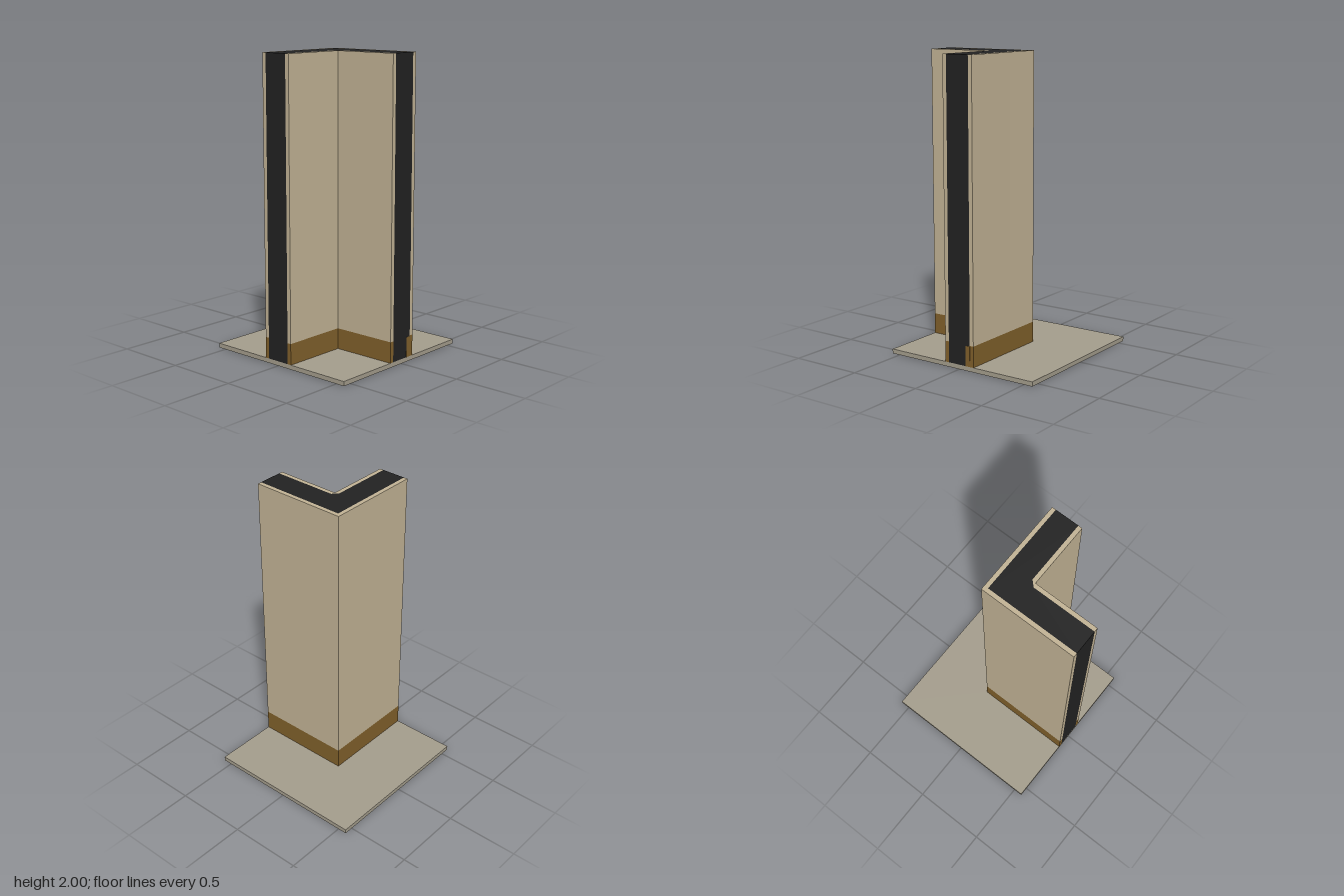
import * as THREE from 'three';

const END = 0.562;    // cut ends of the walls and plate edge
const FACE = 0.112;   // half thickness of the wall
const CORE = 0.084;   // half thickness of the dark core
const FLOOR = 0.03, SKIRT = 0.17, TOP = 2;

// Upright prism from a plan outline of [x, z] points
function prism(name, points, y0, y1, material) {
  const shape = new THREE.Shape(points.map(([x, z]) => new THREE.Vector2(x, z)));
  const geometry = new THREE.ExtrudeGeometry(shape, { depth: y1 - y0, bevelEnabled: false });
  geometry.rotateX(Math.PI / 2).translate(0, y1, 0);
  const mesh = new THREE.Mesh(geometry, material);
  mesh.name = name;
  return mesh;
}

function box(name, size, position, material) {
  const mesh = new THREE.Mesh(new THREE.BoxGeometry(...size), material);
  mesh.name = name;
  mesh.position.set(...position);
  return mesh;
}

function paint(name, color) {
  const material = new THREE.MeshStandardMaterial({ color });
  material.name = name;
  return material;
}

export function createModel() {
  const plaster = paint('plaster', 0xc2b395);
  const wood = paint('skirting wood', 0x80602b);
  const dark = paint('dark core', 0x222222);
  const stone = paint('floor stone', 0xa49d8c);

  const model = new THREE.Group();
  model.name = 'wallCorner';

  // Floor slab
  model.add(box('floorSlab', [2 * END, FLOOR, 2 * END], [0, FLOOR / 2, 0], stone));

  // L-shaped core, chamfered at the inner corner
  const chamfer = [[-CORE, 0.12], [-0.12, CORE]];
  model.add(prism('wallCore', [
    [-END, -CORE], [CORE, -CORE], [CORE, END], [-CORE, END], ...chamfer, [-END, CORE],
  ], FLOOR, TOP, dark));

  // Outer and inner facings, with a skirting band at the foot
  const outer = [
    [-END, -FACE], [FACE, -FACE], [FACE, END], [CORE, END], [CORE, -CORE], [-END, -CORE],
  ];
  const inner = [
    [-END, CORE], chamfer[1], chamfer[0], [-CORE, END], [-FACE, END], [-FACE, FACE], [-END, FACE],
  ];
  for (const [side, outline] of [['outer', outer], ['inner', inner]]) {
    model.add(prism(side + 'Facing', outline, SKIRT, TOP, plaster));
    model.add(prism(side + 'Skirting', outline, FLOOR, SKIRT, wood));
  }

  // Skirting return painted on the front cut end
  model.add(box('skirtingReturn', [0.034, 0.135, 0.002], [0.067, FLOOR + 0.0675, END], wood));

  return model;
}
